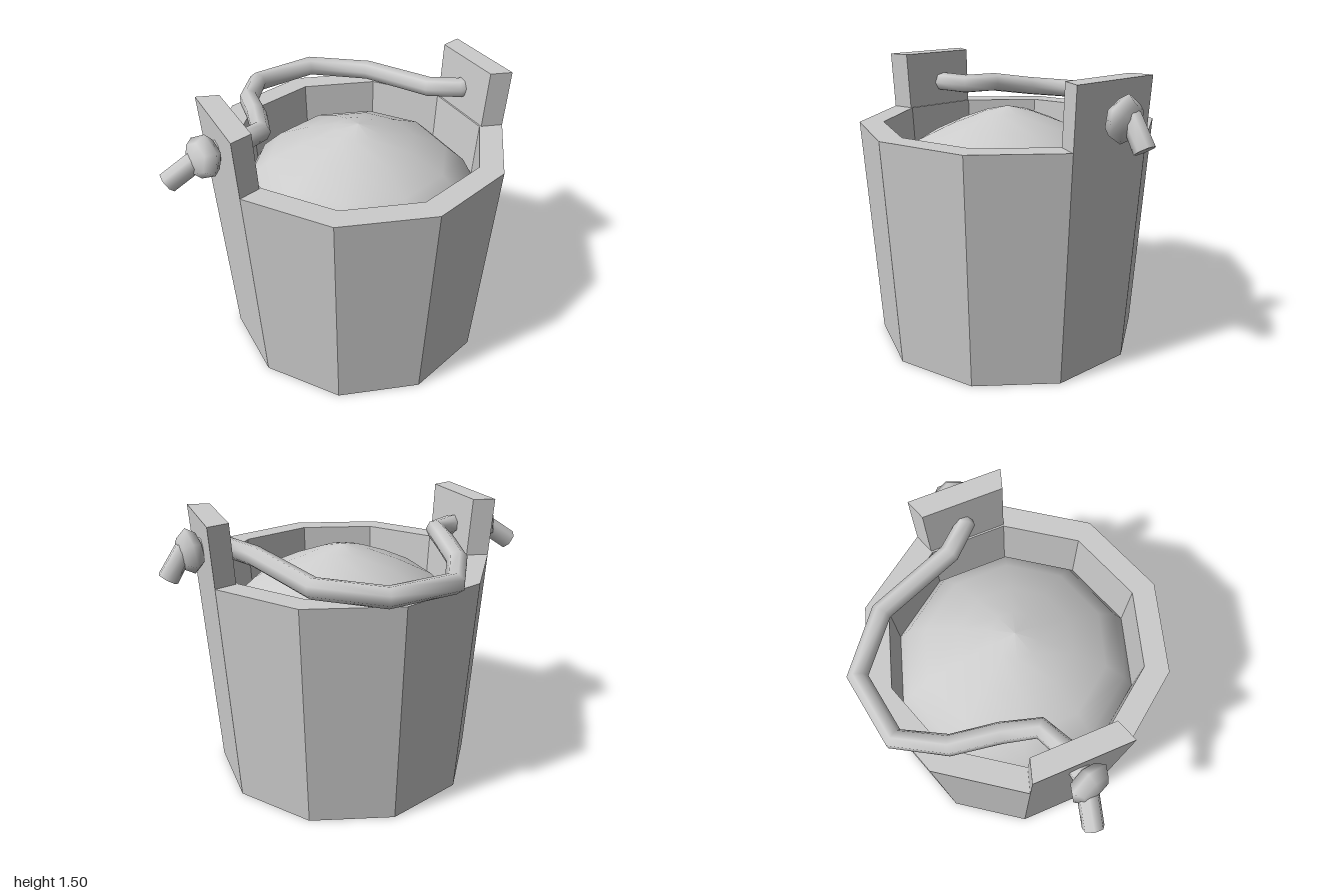
import * as THREE from 'three';

const SIDES = 10;
const V = (x, y, z) => new THREE.Vector3(x, y, z);

// Wall radii: the bucket flares evenly towards the top
const outerR = (y) => 0.72 + 0.07 * (y / 1.2);
const innerR = (y) => 0.595 + 0.068 * (y / 1.2);

// Straight runs between knots of the rope, mitred at each corner
class Polyline extends THREE.Curve {
  constructor(points) {
    super();
    this.points = points;
  }
  getPoint(t, target = new THREE.Vector3()) {
    const n = this.points.length - 1;
    const i = Math.min(Math.floor(t * n + 1e-6), n - 1);
    return target.lerpVectors(this.points[i], this.points[i + 1], t * n - i);
  }
  getPointAt(t, target) {
    return this.getPoint(t, target);
  }
  getTangentAt(t, target = new THREE.Vector3()) {
    const p = this.points;
    const i = Math.round(t * (p.length - 1));
    const dir = (a, b) => V(0, 0, 0).subVectors(p[b], p[a]).normalize();
    target.set(0, 0, 0);
    if (i > 0) target.add(dir(i - 1, i));
    if (i < p.length - 1) target.add(dir(i, i + 1));
    return target.normalize();
  }
}

function faceted(geometry) {
  const g = geometry.index ? geometry.toNonIndexed() : geometry;
  g.computeVertexNormals();
  return g;
}

// Side stave that rises above the rim, following the wall's taper
function lugGeometry() {
  const g = new THREE.BoxGeometry(1, 1, 1);
  const pos = g.attributes.position;
  const a = Math.PI / SIDES;
  for (let i = 0; i < pos.count; i++) {
    const y = pos.getY(i) > 0 ? 1.505 : 1.19;
    const r = pos.getX(i) > 0 ? outerR(y) : innerR(y) + 0.01;
    pos.setXYZ(i, r * Math.cos(a), y, Math.sign(pos.getZ(i)) * r * Math.sin(a));
  }
  return faceted(g);
}

export function createModel() {
  const model = new THREE.Group();
  model.name = 'bucket';
  const grey = new THREE.MeshStandardMaterial({ color: 0xcccccc });
  grey.name = 'light grey';

  const add = (parent, name, geometry) => {
    const mesh = new THREE.Mesh(geometry, grey);
    mesh.name = name;
    parent.add(mesh);
    return mesh;
  };

  const tub = new THREE.Group();
  tub.name = 'tub';
  tub.position.set(0.035, 0, 0.03);
  model.add(tub);

  // Ten-sided wall with thickness
  const wall = [
    [outerR(0), 0], [outerR(1.2), 1.2], [innerR(1.2), 1.2], [innerR(0), 0], [outerR(0), 0],
  ].map(([r, y]) => new THREE.Vector2(r, y));
  add(tub, 'wall', faceted(new THREE.LatheGeometry(wall, SIDES)));

  // Recessed bottom board
  add(tub, 'bottom', faceted(new THREE.CylinderGeometry(innerR(0.11), innerR(0.06), 0.05, SIDES)))
    .position.y = 0.085;

  // Rounded heap filling the bucket
  const heap = [
    [0.645, 0.9], [0.59, 1.0], [0.48, 1.1], [0.3, 1.185], [0.13, 1.25], [0, 1.28],
  ].map(([r, y]) => new THREE.Vector2(r, y));
  add(tub, 'contents', new THREE.LatheGeometry(heap, SIDES));

  // Two raised staves holding the rope
  const lug = lugGeometry();
  add(tub, 'leftLug', lug);
  add(tub, 'rightLug', lug).rotation.y = Math.PI;

  // Rope handle lying against the back rim, tail to tail
  const path = new Polyline([
    V(-0.975, 1.205, -0.01), V(-0.85, 1.29, 0.015), V(-0.77, 1.33, 0.03),
    V(-0.6, 1.33, 0), V(-0.47, 1.325, -0.06), V(-0.42, 1.325, -0.24),
    V(-0.37, 1.285, -0.48), V(-0.23, 1.26, -0.71), V(0.13, 1.26, -0.765),
    V(0.41, 1.265, -0.54), V(0.56, 1.31, -0.11), V(0.67, 1.335, 0.02),
    V(0.82, 1.345, 0.01), V(0.89, 1.33, 0.01), V(0.97, 1.205, 0.01),
  ]);
  const ropeR = 0.054;
  const handle = new THREE.Group();
  handle.name = 'ropeHandle';
  model.add(handle);
  add(handle, 'rope', new THREE.TubeGeometry(path, path.points.length - 1, ropeR, 7));

  // Rope ends
  for (const t of [0, 1]) {
    const out = path.getTangentAt(t).multiplyScalar(t ? 1 : -1);
    const cap = add(handle, 'ropeEnd', new THREE.CircleGeometry(ropeR, 7));
    cap.position.copy(path.getPoint(t));
    cap.quaternion.setFromUnitVectors(V(0, 0, 1), out);
  }

  // Six-sided knots outside the lugs
  const knot = new THREE.SphereGeometry(0.12, 6, 4).rotateZ(Math.PI / 2);
  const rightKnot = add(handle, 'rightKnot', knot);
  rightKnot.position.set(-0.8, 1.325, 0.04);
  rightKnot.rotation.set(0, 0.3, -0.2);
  rightKnot.scale.set(0.55, 0.95, 1);
  const leftKnot = add(handle, 'leftKnot', knot);
  leftKnot.position.set(0.85, 1.33, 0.02);
  leftKnot.rotation.set(0, 0.1, -0.15);
  leftKnot.scale.set(0.55, 1, 1);

  return model;
}
